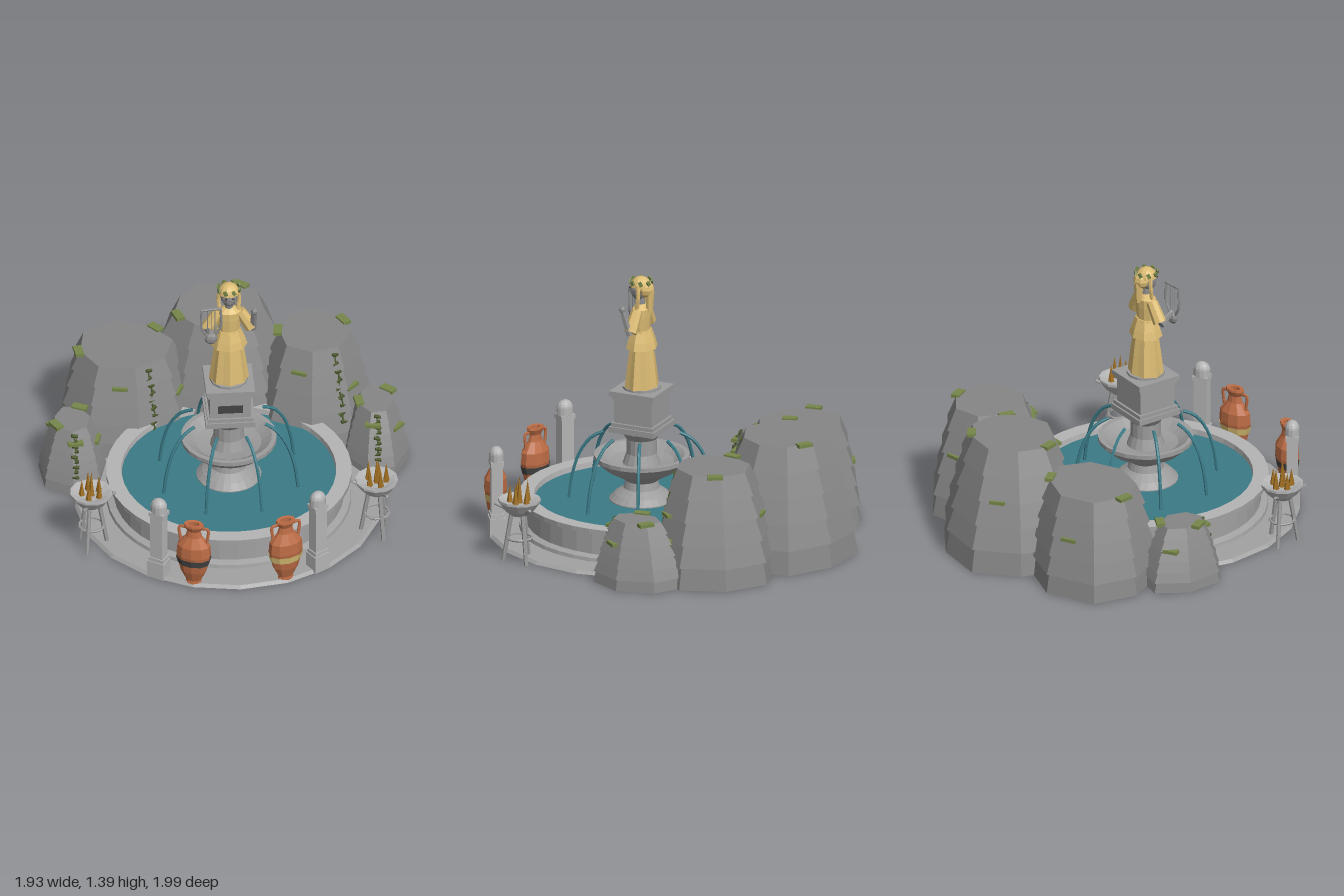
import * as THREE from 'three';

const mat = (color) => new THREE.MeshStandardMaterial({ color, flatShading: true, side: THREE.DoubleSide });
const rockGrey = mat(0x868686), paving = mat(0xa2a2a2), stone = mat(0x9c9c9c), marble = mat(0xb4b4b4), skin = mat(0x8c8c8c);
const gold = mat(0xdcbc74), clay = mat(0xbc6c45), water = mat(0x3a7a86), tan = mat(0xd6bd72);
const leaf = mat(0x76874a), vineGreen = mat(0x4d5a30), dark = mat(0x444444), flame = mat(0xa06f22);
const V = (x, y, z) => new THREE.Vector3(x, y, z);

function add(parent, name, geo, material, x = 0, y = 0, z = 0, rx = 0, ry = 0, rz = 0) {
  const m = new THREE.Mesh(geo, material);
  m.name = name;
  m.position.set(x, y, z);
  m.rotation.set(rx, ry, rz);
  parent.add(m);
  return m;
}
function group(parent, name, x = 0, y = 0, z = 0, ry = 0) {
  const g = new THREE.Group();
  g.name = name;
  g.position.set(x, y, z);
  g.rotation.y = ry;
  parent.add(g);
  return g;
}
const box = (w, h, d) => new THREE.BoxGeometry(w, h, d);
const lathe = (pts, n) => new THREE.LatheGeometry(pts.map(([r, y]) => new THREE.Vector2(r, y)), n);
const tube = (pts, r, n = 10, sides = 6) => new THREE.TubeGeometry(new THREE.CatmullRomCurve3(pts), n, r, sides);
// Tapered rod between two points
function rod(parent, name, a, b, ra, rb, material, sides = 6) {
  const m = add(parent, name, new THREE.CylinderGeometry(rb, ra, a.distanceTo(b), sides), material);
  m.position.copy(a).lerp(b, 0.5);
  m.quaternion.setFromUnitVectors(V(0, 1, 0), b.clone().sub(a).normalize());
  return m;
}

// Rock: uneven polygon scaled inward in overlapping layers
function rock(parent, { name, x, z, rx, rz, sides, turn, top, h, layers, vine }) {
  const g = group(parent, name, x, 0, z);
  const scale = (t) => 1 - (1 - top) * Math.pow(t, 1.4);
  const point = (i, s, y) => {
    const k = i % sides, a = turn + k / sides * Math.PI * 2, r = s * (1.02 + 0.04 * Math.cos(k * 2.7));
    return V(Math.sin(a) * rx * r, y, -Math.cos(a) * rz * r);
  };
  const rings = [];
  for (let k = 0; k < layers; k++) {
    const t0 = k / layers, t1 = (k + 1) / layers;
    rings.push([scale(t0) + (k ? 0.03 : 0), h * t0], [scale(t1) - 0.025, h * t1]);
  }
  const pos = [], tri = (...p) => p.forEach((v) => pos.push(v.x, v.y, v.z));
  for (let i = 0; i < sides; i++) {
    for (let k = 0; k + 1 < rings.length; k++) {
      const a = point(i, ...rings[k]), b = point(i + 1, ...rings[k]);
      const d = point(i, ...rings[k + 1]), e = point(i + 1, ...rings[k + 1]);
      tri(b, a, d);
      tri(b, d, e);
    }
    const last = rings[rings.length - 1];
    tri(V(0, h, 0), point(i + 1, ...last), point(i, ...last));
    tri(V(0, 0, 0), point(i, 1, 0), point(i + 1, 1, 0));
  }
  const geo = new THREE.BufferGeometry();
  geo.setAttribute('position', new THREE.Float32BufferAttribute(pos, 3));
  geo.computeVertexNormals();
  add(g, 'layeredRock', geo, rockGrey);
  // Surface point at a fractional corner index and a height ratio
  const onSurface = (u, t) => {
    const i = Math.floor(u);
    return point(i, scale(t), h * t).lerp(point(i + 1, scale(t), h * t), u - i);
  };
  // Moss on the ledges
  for (let k = 0; k < 5; k++) {
    const p = onSurface((0.15 + k * 0.2) * sides, (layers - k * 2 % 3) / layers);
    add(g, 'mossPatch', box(0.08, 0.018, 0.045), leaf, p.x, p.y, p.z, 0, Math.atan2(p.x, p.z), 0);
  }
  // Vine down the pool side
  const stem = [];
  for (let k = 0; k <= 8; k++) {
    const p = onSurface(vine + 0.03 * Math.sin(k * 2), 0.3 + 0.08 * k);
    stem.push(p);
    add(g, 'vineLeaf', box(0.034, 0.012, 0.016), vineGreen, p.x, p.y, p.z, 0.4, Math.atan2(p.x, p.z), k % 2 ? 0.4 : -0.4);
  }
  add(g, 'vineStem', tube(stem, 0.005, 12, 5), vineGreen);
}

function buildRocks(parent) {
  rock(parent, { name: 'backRock', x: 0.015, z: -0.64, rx: 0.39, rz: 0.36, sides: 9, turn: -0.36, top: 0.61, h: 0.65, layers: 5, vine: 4.55 });
  rock(parent, { name: 'rightBackRock', x: -0.49, z: -0.485, rx: 0.355, rz: 0.31, sides: 8, turn: -0.15, top: 0.71, h: 0.53, layers: 5, vine: 3.6 });
  rock(parent, { name: 'leftBackRock', x: 0.495, z: -0.455, rx: 0.31, rz: 0.315, sides: 8, turn: 0.12, top: 0.62, h: 0.59, layers: 5, vine: 3.2 });
  rock(parent, { name: 'rightSmallRock', x: -0.795, z: -0.13, rx: 0.18, rz: 0.225, sides: 7, turn: -0.4, top: 0.54, h: 0.33, layers: 6, vine: 3.9 });
  rock(parent, { name: 'leftSmallRock', x: 0.795, z: -0.16, rx: 0.168, rz: 0.24, sides: 7, turn: -0.07, top: 0.56, h: 0.35, layers: 6, vine: 3.6 });
}

function buildStatue(parent) {
  const g = group(parent, 'statue');
  // Pleated cloth: alternate columns are pulled in
  const cloth = (name, pts, n, pleat, flat) => {
    const geo = lathe(pts, n), p = geo.attributes.position;
    for (let i = 0; i < p.count; i++) {
      const k = Math.floor(i / pts.length) % 2 ? pleat : 1;
      p.setXYZ(i, p.getX(i) * k, p.getY(i), p.getZ(i) * k * flat);
    }
    geo.computeVertexNormals();
    add(g, name, geo, gold);
  };
  add(g, 'statueFoot', new THREE.CylinderGeometry(0.1, 0.1, 0.015, 12), stone, 0, 0.78, 0);
  cloth('skirt', [[0, 0.785], [0.105, 0.785], [0.09, 0.9], [0.07, 1.03]], 16, 0.9, 0.85);
  cloth('overskirt', [[0.097, 1.0], [0.085, 1.04], [0.062, 1.1]], 16, 0.92, 0.85);
  cloth('torso', [[0.056, 1.08], [0.065, 1.17], [0.066, 1.215], [0.025, 1.24]], 10, 1, 0.72);
  add(g, 'belt', new THREE.CylinderGeometry(0.062, 0.064, 0.018, 12), gold, 0, 1.09, 0).scale.z = 0.82;
  rod(g, 'neck', V(0, 1.22, 0), V(0, 1.28, 0.005), 0.022, 0.02, skin, 8);
  add(g, 'head', new THREE.SphereGeometry(0.05, 10, 8), skin, 0, 1.315, 0.015).scale.set(0.9, 1.15, 0.95);
  add(g, 'nose', new THREE.ConeGeometry(0.008, 0.028, 4), skin, 0, 1.312, 0.064);
  for (const s of [-1, 1]) {
    add(g, 'eye', box(0.014, 0.007, 0.006), dark, s * 0.018, 1.325, 0.058);
    add(g, 'hairStrand', tube([V(s * 0.045, 1.35, 0), V(s * 0.054, 1.29, -0.005), V(s * 0.048, 1.22, 0.005)], 0.011, 6, 6), gold);
    // Sleeved upper arm, then bare forearm lifted forward
    rod(g, 'sleeve', V(s * 0.055, 1.21, 0), V(s * 0.115, 1.11, 0.01), 0.03, 0.036, gold, 8);
    const hand = s > 0 ? V(0.13, 1.235, 0.05) : V(-0.1, 1.14, 0.09);
    rod(g, 'forearm', V(s * 0.125, 1.1, 0.01), hand, 0.02, 0.015, skin);
    add(g, 'hand', new THREE.SphereGeometry(0.018, 7, 5), skin, hand.x, hand.y, hand.z);
  }
  // Hair cap, bun and tail
  add(g, 'hair', new THREE.SphereGeometry(0.057, 10, 5, 0, Math.PI * 2, 0, 1.5), gold, 0, 1.33, 0.004);
  add(g, 'hairBack', new THREE.SphereGeometry(0.045, 8, 6), gold, 0, 1.32, -0.025);
  rod(g, 'hairTail', V(0, 1.31, -0.045), V(0, 1.2, -0.045), 0.026, 0.018, gold, 7);
  for (let i = 0; i < 8; i++) {
    const a = (i + 0.5) / 8 * Math.PI * 2;
    add(g, 'wreathLeaf', box(0.018, 0.024, 0.01), leaf, Math.sin(a) * 0.058, 1.36, Math.cos(a) * 0.058 + 0.004, 0, a, 0.5);
  }
  // Lyre in the right hand
  const lyre = group(g, 'lyre', -0.1, 1.1, 0.1, 0.1);
  add(lyre, 'lyreBody', new THREE.SphereGeometry(0.035, 8, 6), skin, 0, 0.01, 0).scale.z = 0.6;
  for (const s of [-1, 1]) add(lyre, 'lyreArm', tube([V(s * 0.022, 0.03, 0), V(s * 0.05, 0.08, 0), V(s * 0.05, 0.2, 0)], 0.007), skin);
  rod(lyre, 'lyreBar', V(-0.056, 0.195, 0), V(0.056, 0.195, 0), 0.007, 0.007, skin);
  for (let i = -1; i <= 1; i++) rod(lyre, 'lyreString', V(i * 0.02, 0.03, 0), V(i * 0.02, 0.19, 0), 0.002, 0.002, skin, 4);
}

function buildAmphora(parent, x, bandMaterial) {
  const g = group(parent, 'amphora', x, 0.008, 0.918, Math.atan2(x, 0.73));
  g.scale.z = 0.65;
  add(g, 'vase', lathe([[0, 0], [0.045, 0], [0.04, 0.02], [0.07, 0.08], [0.093, 0.18], [0.088, 0.24], [0.045, 0.295], [0.036, 0.33], [0.055, 0.36], [0.052, 0.372], [0.03, 0.37], [0.025, 0.3]], 10), clay);
  add(g, 'vaseBand', lathe([[0.084, 0.125], [0.095, 0.165]], 10), bandMaterial);
  for (const s of [-1, 1]) add(g, 'vaseHandle', tube([V(s * 0.04, 0.345, 0), V(s * 0.075, 0.345, 0), V(s * 0.07, 0.26, 0)], 0.009), clay);
}

function buildPost(parent, x) {
  const g = group(parent, 'roundedPost', x, 0, 0.83, Math.atan2(x, 0.63));
  add(g, 'postBase', box(0.095, 0.1, 0.08), marble, 0, 0.05, 0);
  add(g, 'postStep', box(0.085, 0.025, 0.07), marble, 0, 0.11, 0);
  add(g, 'postShaft', box(0.072, 0.28, 0.06), marble, 0, 0.26, 0);
  add(g, 'postCollar', box(0.085, 0.025, 0.07), marble, 0, 0.395, 0);
  add(g, 'postNeck', new THREE.CylinderGeometry(0.045, 0.045, 0.04, 12), marble, 0, 0.425, 0).scale.z = 0.85;
  add(g, 'postDome', new THREE.SphereGeometry(0.045, 12, 5, 0, Math.PI * 2, 0, Math.PI / 2), marble, 0, 0.44, 0).scale.z = 0.85;
}

function buildBrazier(parent, x) {
  const g = group(parent, 'brazier', x, 0, 0.54, x > 0 ? 0.35 : -0.35);
  add(g, 'brazierBowl', lathe([[0, 0.25], [0.045, 0.255], [0.08, 0.285], [0.112, 0.33], [0.112, 0.343], [0.098, 0.34], [0.06, 0.325], [0, 0.32]], 12), marble);
  for (let i = 0; i < 3; i++) {
    const a = i / 3 * Math.PI * 2, sx = Math.sin(a), cz = Math.cos(a);
    rod(g, 'brazierLeg', V(sx * 0.085, 0, cz * 0.085), V(sx * 0.04, 0.27, cz * 0.04), 0.011, 0.012, stone);
    rod(g, 'brazierHorn', V(sx * 0.08, 0.29, cz * 0.08), V(sx * 0.13, 0.315, cz * 0.13), 0.008, 0.008, stone);
  }
  add(g, 'brazierRing', new THREE.TorusGeometry(0.065, 0.007, 5, 12), stone, 0, 0.13, 0, Math.PI / 2);
  for (let i = 0; i < 6; i++) {
    const a = i * Math.PI * 0.4, r = i < 5 ? 0.05 : 0, h = i < 5 ? 0.11 + 0.02 * (i % 2) : 0.16;
    add(g, 'flame', new THREE.ConeGeometry(0.02, h, 5), flame, Math.sin(a) * r, 0.31 + h / 2, Math.cos(a) * r);
  }
}

export function createModel() {
  const model = new THREE.Group();
  model.name = 'rockFountain';
  const pool = group(model, 'fountain', 0, 0, 0.19);
  // Ground slab, basin wall and water
  add(pool, 'groundSlab', new THREE.CylinderGeometry(0.79, 0.805, 0.016, 20), paving, 0, 0.008, 0);
  add(pool, 'basinWall', lathe([[0.64, 0.01], [0.635, 0.035], [0.6, 0.045], [0.6, 0.165], [0.64, 0.17], [0.64, 0.195]], 40), paving);
  add(pool, 'basinRim', lathe([[0.64, 0.195], [0.56, 0.195], [0.55, 0.05]], 40), marble);
  add(pool, 'poolWater', new THREE.CylinderGeometry(0.56, 0.56, 0.01, 40), water, 0, 0.16, 0);
  // Stem, upper bowl and pedestal
  add(pool, 'bowlStem', lathe([[0.17, 0.03], [0.17, 0.17], [0.14, 0.2], [0.095, 0.23], [0.085, 0.27], [0.11, 0.29]], 24), stone);
  add(pool, 'upperBowl', lathe([[0.11, 0.29], [0.19, 0.335], [0.25, 0.39], [0.25, 0.412], [0.225, 0.412], [0.17, 0.375], [0.08, 0.36]], 24), stone);
  add(pool, 'pedestalColumn', lathe([[0.1, 0.36], [0.08, 0.42], [0.08, 0.5], [0.11, 0.54], [0.11, 0.56]], 16), stone);
  for (const [w, y0, y1] of [[0.26, 0.55, 0.58], [0.24, 0.58, 0.6], [0.215, 0.6, 0.73], [0.235, 0.73, 0.75], [0.255, 0.75, 0.775]])
    add(pool, 'pedestalBlock', box(w, y1 - y0, w), stone, 0, (y0 + y1) / 2, 0);
  add(pool, 'pedestalPlaque', box(0.13, 0.045, 0.01), dark, 0, 0.655, 0.108);
  // Eight falling jets
  for (let i = 0; i < 8; i++) {
    const jet = group(pool, 'waterJet', 0, 0, 0, (i + 0.5) * Math.PI / 4);
    add(jet, 'jetStream', tube([V(0, 0.53, 0.2), V(0, 0.5, 0.26), V(0, 0.42, 0.32), V(0, 0.3, 0.36), V(0, 0.16, 0.38)], 0.009, 12), water);
  }
  buildStatue(pool);
  buildRocks(model);
  // Mask spout on the back rock
  const spout = group(model, 'wallSpout', 0, 0.25, -0.315);
  spout.rotation.x = -0.18;
  add(spout, 'spoutPlate', box(0.14, 0.2, 0.03), stone);
  add(spout, 'spoutFace', new THREE.SphereGeometry(0.05, 8, 6), stone, 0, 0.01, 0.02).scale.z = 0.6;
  add(spout, 'spoutMouth', new THREE.CylinderGeometry(0.018, 0.018, 0.05, 8), dark, 0, -0.02, 0.045, Math.PI / 2);
  for (const s of [-1, 1]) {
    buildAmphora(model, s * 0.24, s < 0 ? dark : tan);
    buildPost(model, s * 0.415);
    buildBrazier(model, s * 0.745);
  }
  return model;
}
